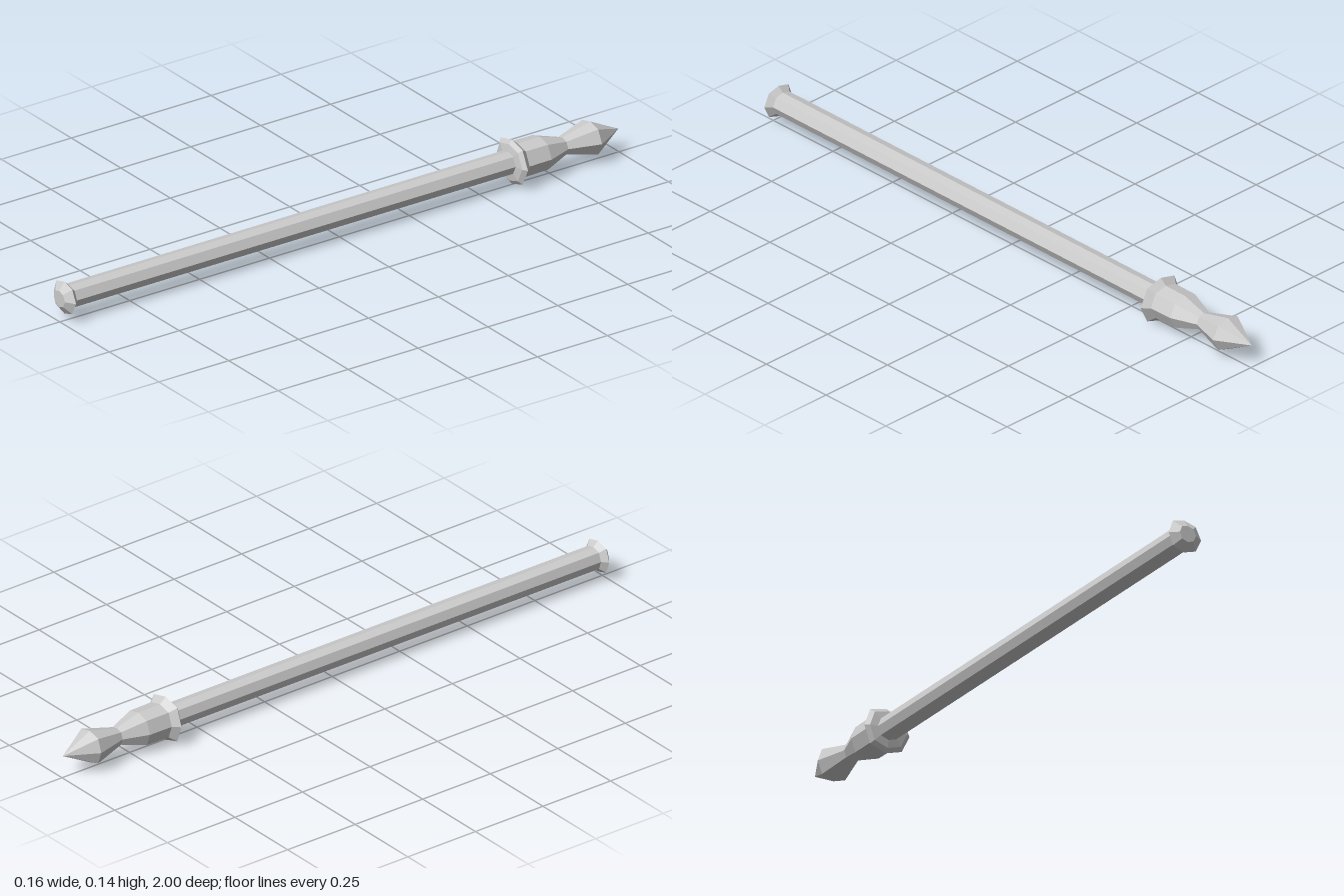
import * as THREE from 'three';

const material = new THREE.MeshStandardMaterial({ color: 0xcccccc, flatShading: true });
const AXIS_X = -0.0035, AXIS_Y = 0.0735;

// Eight-sided turned part along z from [radius, z] pairs, z rising
function turned(name, profile) {
  const geometry = new THREE.LatheGeometry(profile.map(([r, z]) => new THREE.Vector2(r, z)), 8);
  geometry.rotateX(Math.PI / 2);
  // Slightly uneven octagon: the four axis corners sit off the true circle
  const p = geometry.attributes.position;
  for (let i = 0; i < p.count; i++) {
    let x = p.getX(i), y = p.getY(i);
    if (Math.abs(y) < 1e-5) x *= x > 0 ? 1.05 : 0.96;
    else if (Math.abs(x) < 1e-5) y *= y > 0 ? 0.89 : 0.94;
    p.setXY(i, x + AXIS_X, y + AXIS_Y);
  }
  geometry.computeVertexNormals();
  const mesh = new THREE.Mesh(geometry, material);
  mesh.name = name;
  return mesh;
}

export function createModel() {
  const group = new THREE.Group();
  group.name = 'spearTippedRod';
  group.add(
    // Pointed tip, narrow waist and swelling socket
    turned('spearHead', [[0, -1], [0.057, -0.9], [0.029, -0.8], [0.057, -0.72], [0.058, -0.64]]),
    // Flared ring between head and shaft
    turned('collar', [[0.058, -0.64], [0.078, -0.619], [0.064, -0.609], [0.038, -0.605]]),
    turned('shaft', [[0.038, -0.605], [0.038, 0.964]]),
    // Bevelled end knob
    turned('pommel', [[0.038, 0.964], [0.056, 0.981], [0.028, 1], [0, 1]]),
  );
  return group;
}
